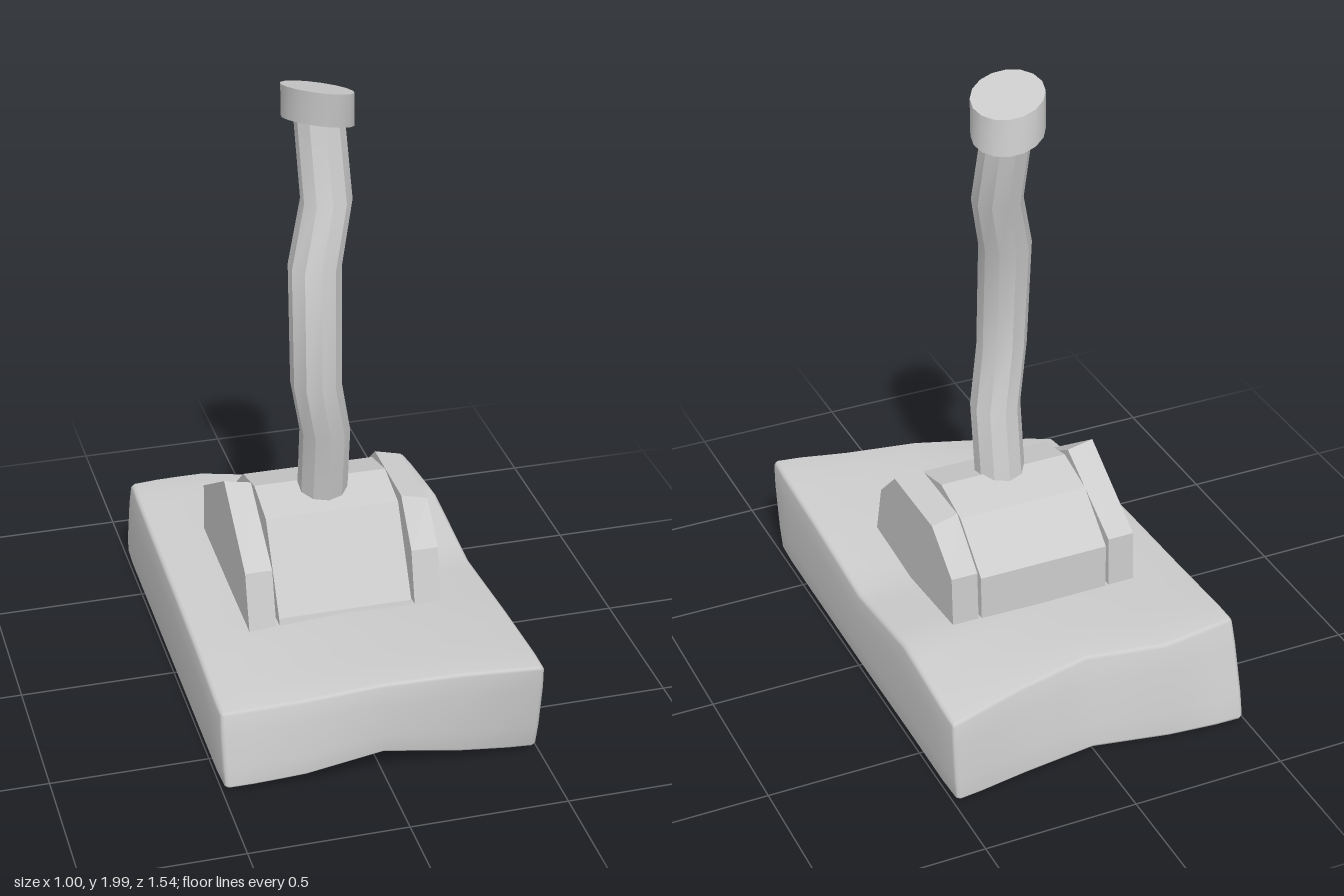
import * as THREE from 'three';
import { mergeVertices, toCreasedNormals } from 'three/addons/utils/BufferGeometryUtils.js';

const grey = new THREE.MeshStandardMaterial({ color: 0xcccccc });

function part(name, geometry) {
  const mesh = new THREE.Mesh(geometry, grey);
  mesh.name = name;
  return mesh;
}

// Moves every vertex of a geometry by a rule.
function deform(geometry, rule) {
  const p = geometry.attributes.position;
  const v = new THREE.Vector3();
  for (let i = 0; i < p.count; i++) {
    rule(v.fromBufferAttribute(p, i));
    p.setXYZ(i, v.x, v.y, v.z);
  }
  return geometry;
}

// Reads evenly spaced values at t in -1..1.
function sample(values, t) {
  const f = THREE.MathUtils.clamp((t + 1) / 2, 0, 1) * (values.length - 1);
  const i = Math.min(Math.floor(f), values.length - 2);
  return THREE.MathUtils.lerp(values[i], values[i + 1], f - i);
}

// Worn stone slab: a rounded box bent to uneven edges and heights.
function slab() {
  const half = new THREE.Vector3(0.5, 0.16, 0.75), r = 0.035;
  const n = { x: 14, y: 6, z: 18 };
  // edge lines from x = -0.5 to 0.5
  const frontTop = [0.64, 0.685, 0.715, 0.74, 0.785];
  const frontLow = [0.695, 0.72, 0.725, 0.725, 0.725];
  const backTop = [0.68, 0.71, 0.65, 0.69, 0.755];
  const backLow = [0.79, 0.765, 0.715, 0.745, 0.785];
  const lift = [0.012, 0.04, 0.085, 0.04, 0.012];
  // top heights from back to front, for x = -0.5, 0 and 0.5
  const tops = [[0.355, 0.335, 0.32, 0.30, 0.265], [0.33, 0.33, 0.32, 0.33, 0.335], [0.29, 0.34, 0.29, 0.33, 0.36]];
  let geometry = new THREE.BoxGeometry(2, 2, 2, n.x, n.y, n.z);
  geometry.deleteAttribute('uv');
  geometry.deleteAttribute('normal');
  geometry = mergeVertices(geometry);
  const core = new THREE.Vector3();
  deform(geometry, (v) => {
    // outermost grid cells become the rounded edges
    for (const a of ['x', 'y', 'z']) {
      const inner = 1 - 2 / n[a];
      v[a] = Math.abs(v[a]) > inner + 1e-4 ? Math.sign(v[a]) * half[a] : (v[a] / inner) * (half[a] - r * 0.45);
      core[a] = THREE.MathUtils.clamp(v[a], r - half[a], half[a] - r);
    }
    v.sub(core);
    if (v.length() > 0) v.setLength(r);
    v.add(core).divide(half);
    const { x, y, z } = v;
    const h = (y + 1) / 2;
    const end = z > 0
      ? THREE.MathUtils.lerp(sample(frontLow, x), sample(frontTop, x), h)
      : THREE.MathUtils.lerp(sample(backLow, x), sample(backTop, x), h);
    const top = sample(tops.map((row) => sample(row, z)), x);
    const low = THREE.MathUtils.lerp(0.01, sample(lift, x), THREE.MathUtils.smoothstep(z, 0.5, 1));
    v.set(x * 0.5, THREE.MathUtils.lerp(low, top, h), z * end);
  });
  geometry.computeVertexNormals();
  return geometry;
}

// Housing block: a (z, y) profile extruded from x0 to x1, its top tilted sideways.
function block(profile, x0, x1, slope = 0) {
  const shape = new THREE.Shape(profile.map(([z, y]) => new THREE.Vector2(-z, y)));
  const geometry = new THREE.ExtrudeGeometry(shape, { depth: x1 - x0, bevelEnabled: false });
  geometry.rotateY(Math.PI / 2).translate(x0, 0, 0);
  deform(geometry, (v) => { if (v.y > 0.55) v.y += slope * (v.x - x0); });
  return toCreasedNormals(geometry, 0.1);
}

// Round rod through rings [x, y, z, radius, slopeX, slopeZ], listed from the top down.
function rod(rings, sides, crease) {
  const geometry = new THREE.CylinderGeometry(1, 1, 1, sides, rings.length - 1);
  deform(geometry, (v) => {
    const [x, y, z, r, sx = 0, sz = 0] = rings[Math.round((0.5 - v.y) * (rings.length - 1))];
    v.set(x + v.x * r, y + (sx * v.x + sz * v.z) * r, z + v.z * r);
  });
  return toCreasedNormals(geometry, crease);
}

export function createModel() {
  const model = new THREE.Group();
  model.name = 'leverOnBase';

  model.add(part('baseSlab', slab()));

  // three-part housing
  const housing = new THREE.Group();
  housing.name = 'housing';
  const foot = [[-0.34, 0.28], [0.295, 0.28]];
  housing.add(
    part('housingCentre', block([...foot, [0.28, 0.34], [0.12, 0.61], [-0.03, 0.648], [-0.18, 0.61], [-0.3, 0.51], [-0.335, 0.48]], -0.217, 0.215)),
    part('housingRightCheek', block([...foot, [0.28, 0.34], [0.24, 0.495], [-0.03, 0.68], [-0.33, 0.5]], -0.315, -0.228, -0.2)),
    part('housingLeftCheek', block([...foot, [0.28, 0.34], [0.24, 0.495], [0.12, 0.63], [-0.18, 0.63], [-0.33, 0.5]], 0.225, 0.312, -0.25)),
  );
  model.add(housing);

  // crooked lever
  model.add(part('leverShaft', rod([
    [0.008, 1.89, -0.08, 0.078],
    [0.018, 1.62, -0.025, 0.08],
    [-0.033, 1.43, 0.03, 0.083],
    [-0.042, 1.05, 0.075, 0.08],
    [-0.004, 0.86, 0.04, 0.08],
    [0, 0.6, -0.008, 0.08],
  ], 10, 0.5)));

  // tilted cap on the lever
  model.add(part('leverCap', rod([
    [-0.002, 1.97, -0.055, 0.112, -0.2, 0.2],
    [0.003, 1.858, -0.07, 0.112, -0.2, 0.2],
  ], 16, 0.5)));

  return model;
}
